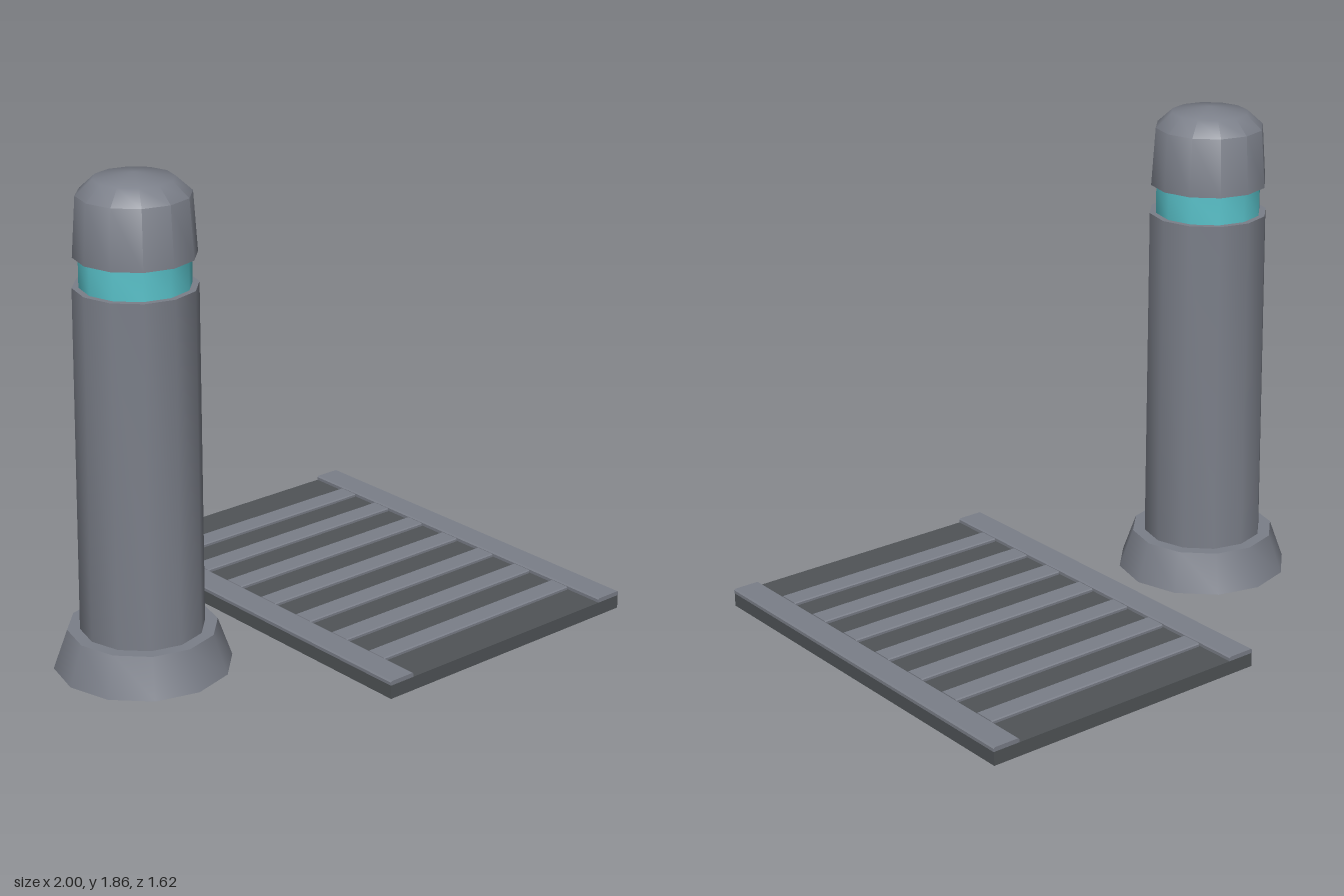
import * as THREE from 'three';
import { toCreasedNormals } from 'three/addons/utils/BufferGeometryUtils.js';

const material = (name, color) => {
  const m = new THREE.MeshStandardMaterial({ color });
  m.name = name;
  return m;
};

export function createModel() {
  const grey = material('grey metal', 0x7b7f89);
  const dark = material('dark metal', 0x505457);
  const teal = material('teal light', 0x5ac3cb);

  const add = (parent, name, geometry, mat, x, y, z) => {
    const mesh = new THREE.Mesh(geometry, mat);
    mesh.name = name;
    mesh.position.set(x, y, z);
    parent.add(mesh);
  };

  // Twelve-sided closed profile turned about the post axis
  const turned = (points) => toCreasedNormals(
    new THREE.LatheGeometry(points.map(([r, y]) => new THREE.Vector2(r, y)), 12), 0.85);

  // Bar with a small chamfer along its two long top edges; length runs along z
  const bar = (width, height, length, chamfer) => {
    const w = width / 2;
    const shape = new THREE.Shape([
      [-w, 0], [w, 0], [w, height - chamfer], [w - chamfer, height],
      [-w + chamfer, height], [-w, height - chamfer],
    ].map(([x, y]) => new THREE.Vector2(x, y)));
    return new THREE.ExtrudeGeometry(shape, { depth: length, bevelEnabled: false })
      .translate(0, 0, -length / 2);
  };

  const model = new THREE.Group();
  model.name = 'bollardAndGrate';

  // Bollard
  const bollard = new THREE.Group();
  bollard.name = 'bollard';
  bollard.position.x = -0.67;
  model.add(bollard);
  add(bollard, 'foot', turned([[0, 0], [0.33, 0], [0.277, 0.15], [0, 0.15]]), grey, 0, 0, 0);
  add(bollard, 'column', turned([[0.23, 0.15], [0.224, 1.45], [0, 1.45]]), grey, 0, 0, 0);
  add(bollard, 'lightBand', turned([[0.2, 1.45], [0.2, 1.56]]), teal, 0, 0, 0);
  add(bollard, 'cap', turned([[0, 1.56], [0.22, 1.56], [0.205, 1.78], [0.145, 1.835], [0, 1.855]]),
    grey, 0, 0, 0);

  // Floor grate: dark tray, two side rails and seven slats
  const grate = new THREE.Group();
  grate.name = 'grate';
  grate.position.x = 0.405;
  model.add(grate);
  add(grate, 'tray', new THREE.BoxGeometry(1.18, 0.053, 1.625), dark, 0, 0.0265, 0);
  for (const side of [-1, 1]) {
    add(grate, 'sideRail', bar(0.11, 0.017, 1.625, 0.005), grey, side * 0.537, 0.053, 0);
  }
  for (let i = -3; i <= 3; i++) {
    add(grate, 'slat', bar(0.085, 0.014, 0.955, 0.004).rotateY(Math.PI / 2), grey,
      0, 0.052, i * 0.2035);
  }
  return model;
}
